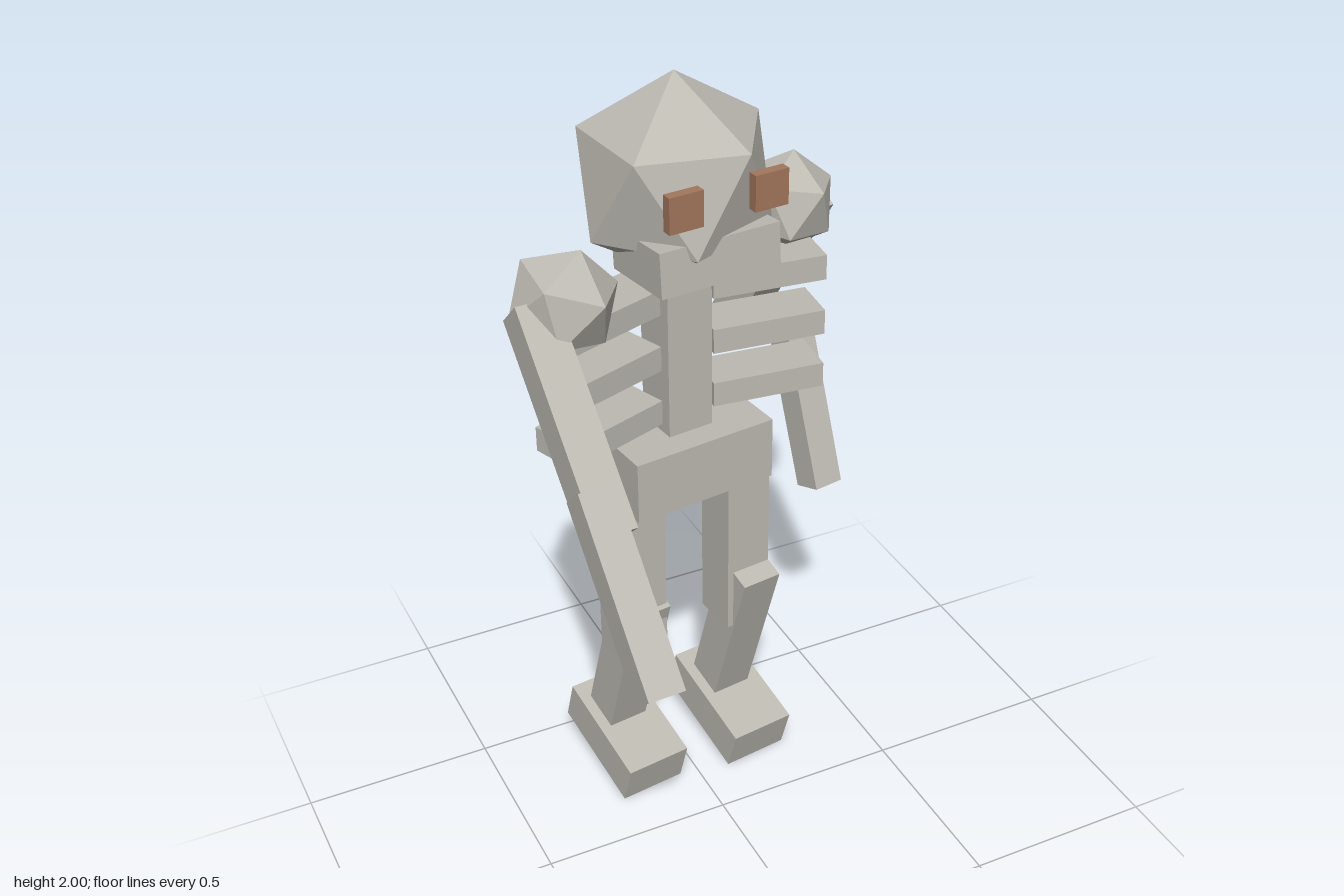
import * as THREE from 'three';

export function createModel() {
  const model = new THREE.Group();
  model.name = 'skeleton';

  const bone = new THREE.MeshStandardMaterial({ color: 0xbdbab2 });
  bone.name = 'bone grey';
  const brown = new THREE.MeshStandardMaterial({ color: 0xa3765c });
  brown.name = 'eye brown';

  // Box with size, centre, then pitch, yaw and roll (yaw applied last)
  function box(parent, name, size, pos, pitch = 0, yaw = 0, material = bone) {
    const mesh = new THREE.Mesh(new THREE.BoxGeometry(...size), material);
    mesh.name = name;
    mesh.position.set(...pos);
    mesh.rotation.set(pitch, yaw, 0, 'YXZ');
    parent.add(mesh);
    return mesh;
  }

  // Icosahedron standing on one corner
  function ball(parent, name, radius, pos) {
    const geometry = new THREE.IcosahedronGeometry(radius, 0);
    geometry.rotateZ(-Math.atan(2 / (1 + Math.sqrt(5))));
    const mesh = new THREE.Mesh(geometry, bone);
    mesh.name = name;
    mesh.position.set(...pos);
    parent.add(mesh);
    return mesh;
  }

  // Head, turned slightly to its left
  const head = new THREE.Group();
  head.name = 'head';
  head.position.set(-0.007, 1.75, -0.232);
  head.rotation.y = 0.1;
  model.add(head);
  ball(head, 'skull', 0.25, [0, 0, 0]);
  box(head, 'jaw', [0.315, 0.11, 0.22], [0, -0.138, 0.09], -0.07);
  for (const s of [-1, 1]) {
    box(head, s > 0 ? 'leftEye' : 'rightEye', [0.087, 0.087, 0.026],
      [s * 0.11, 0.027, 0.222], 0, 0, brown);
  }

  // Trunk: pelvis, spine, ribs and thighs share one turn
  const trunk = new THREE.Group();
  trunk.name = 'trunk';
  trunk.position.set(-0.005, 0, -0.215);
  trunk.rotation.y = 0.125;
  model.add(trunk);
  box(trunk, 'pelvis', [0.39, 0.165, 0.216], [0, 1.015, 0]);
  box(trunk, 'spine', [0.123, 0.5, 0.123], [0, 1.33, -0.022]);
  for (const s of [-1, 1]) {
    const side = s > 0 ? 'left' : 'right';
    for (const y of [1.167, 1.315, 1.464]) {
      box(trunk, side + 'Rib', [0.29, 0.065, 0.13], [s * 0.23, y, -0.003], 0, -s * 0.225);
    }
    box(trunk, side + 'Thigh', [0.125, 0.505, 0.125], [s * 0.157, 0.713, 0]);

    // Lower legs lean back, toes point down
    box(model, side + 'Shin', [0.11, 0.5, 0.11], [s * 0.157, 0.395, -0.248], 0.305, 0.135);
    box(model, side + 'Foot', [0.18, 0.125, 0.315], [s * 0.157, 0.106, -0.283], 0.3, 0.135);
  }

  // Shoulders
  ball(model, 'leftShoulder', 0.13, [0.336, 1.575, -0.337]).rotation.z = -0.15;
  ball(model, 'rightShoulder', 0.131, [-0.358, 1.59, -0.062]).rotation.set(0.15, 0, -0.3);

  // Left arm swings back, right arm reaches forward
  box(model, 'leftUpperArm', [0.097, 0.53, 0.097], [0.37, 1.353, -0.478], 0.565, 0.2);
  box(model, 'leftForearm', [0.085, 0.456, 0.085], [0.445, 0.931, -0.408], -0.323, 0.18);
  box(model, 'rightUpperArm', [0.097, 0.53, 0.097], [-0.427, 1.398, 0.121], -0.755, 0.06);
  box(model, 'rightForearm', [0.085, 0.45, 0.085], [-0.463, 1.193, 0.487], -0.754, 0.04);

  return model;
}
